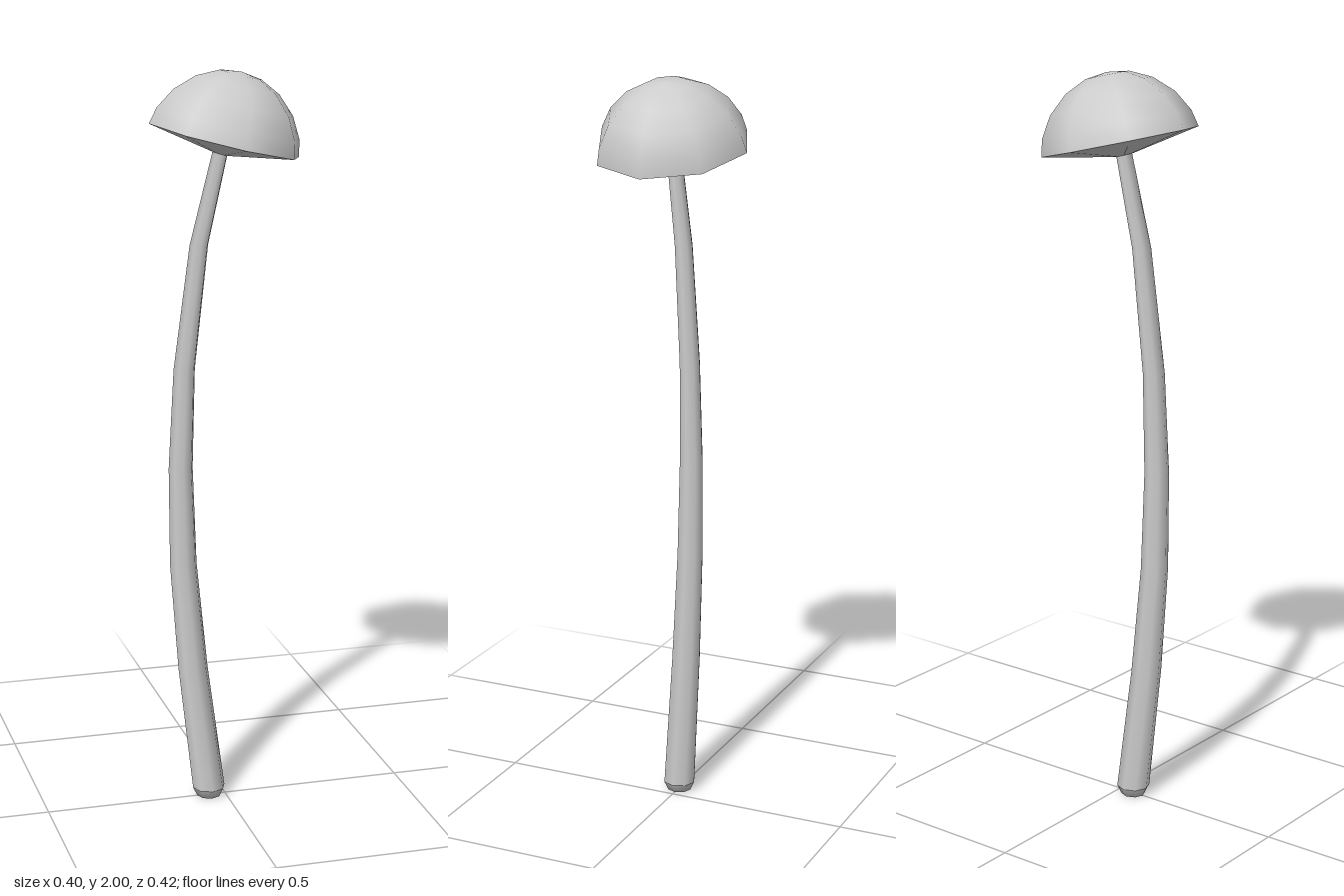
import * as THREE from 'three';

const SIDES = 8;
const material = new THREE.MeshStandardMaterial({ color: 0xcccccc });

// Eight-sided turned part from [radius, height] pairs, listed bottom to top
function turned(name, profile) {
  const points = profile.map(([r, y]) => new THREE.Vector2(r, y));
  const mesh = new THREE.Mesh(new THREE.LatheGeometry(points, SIDES), material);
  mesh.name = name;
  return mesh;
}

export function createModel() {
  const model = new THREE.Group();
  model.name = 'mushroom';

  // Stem rings: [radius, height, sideways offset of the ring centre]
  const rings = [
    [0.045, 0.025, -0.046], [0.041, 0.38, -0.09], [0.037, 0.68, -0.116],
    [0.033, 0.95, -0.122], [0.029, 1.22, -0.111], [0.025, 1.55, -0.07], [0.021, 1.80, -0.01],
  ];
  const stem = turned('stem', rings);
  const pos = stem.geometry.attributes.position;
  for (let i = 0; i < pos.count; i++) {
    pos.setX(i, pos.getX(i) + rings[i % rings.length][2]);
  }
  model.add(stem);

  // Bevelled foot closing the stem
  const foot = turned('stemFoot', [[0, 0], [0.033, 0], [0.045, 0.025]]);
  foot.position.x = -0.046;
  model.add(foot);

  // Tilted cap: dome above, shallow cone below
  const cap = new THREE.Group();
  cap.name = 'cap';
  cap.add(turned('capDome', [
    [0.208, 0], [0.197, 0.045], [0.165, 0.1], [0.115, 0.146], [0.058, 0.173], [0, 0.181],
  ]));
  cap.add(turned('capUnderside', [[0, -0.04], [0.208, 0]]));
  cap.position.y = 1.82;
  cap.rotation.z = -0.245;
  model.add(cap);

  return model;
}
